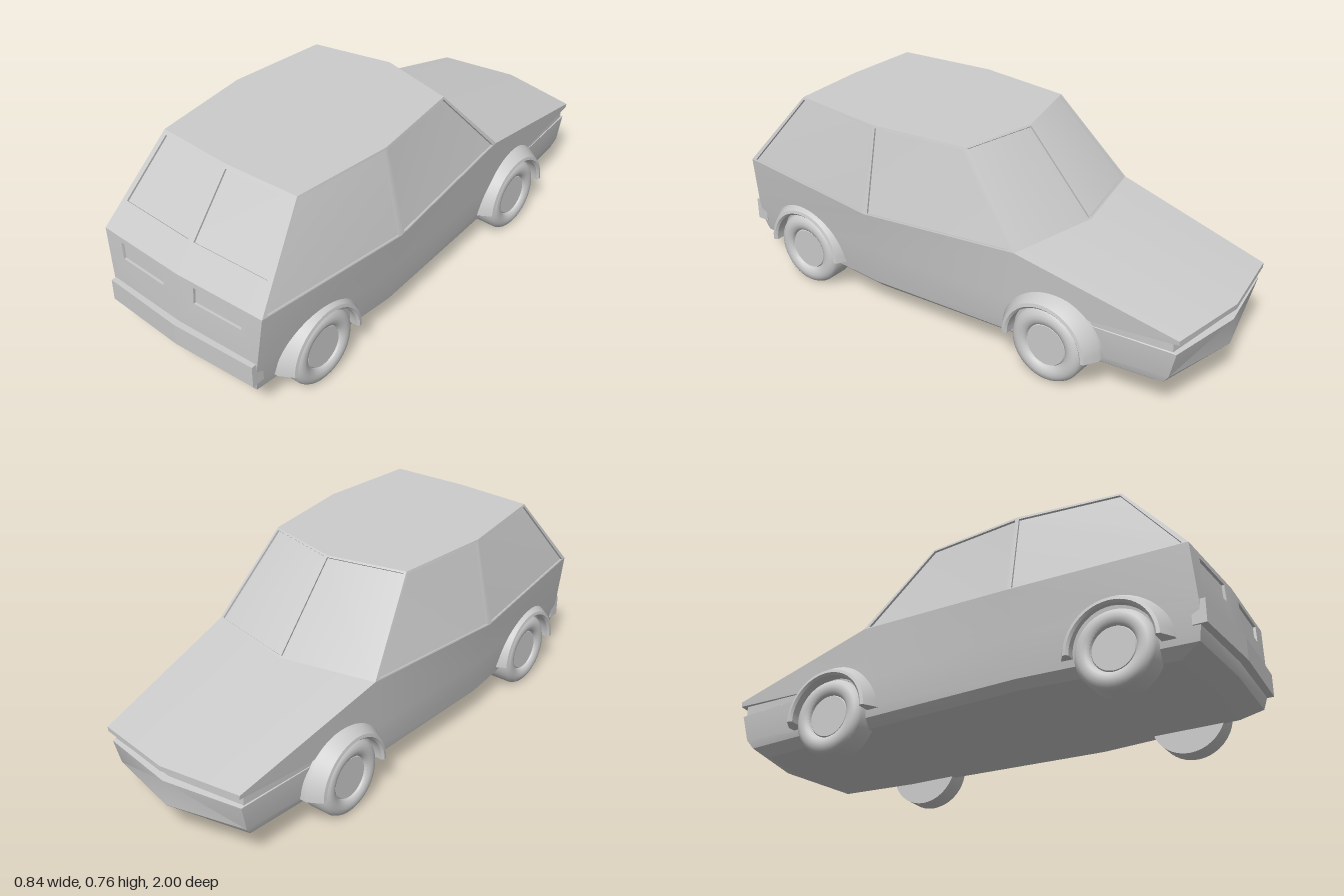
import * as THREE from 'three';
import { mergeGeometries, toCreasedNormals } from 'three/addons/utils/BufferGeometryUtils.js';

const V = (p) => new THREE.Vector3(...p);
const material = new THREE.MeshStandardMaterial({ color: 0xcccccc, side: THREE.DoubleSide });

// Half outlines: tail centre, tail corner, door, windscreen corner, nose corner, nose centre
const sides = [[0, 0.26, 0.975], [0.345, 0.26, 0.96], [0.39, 0.27, 0.31], [0.358, 0.27, -0.33]];
const levels = [
  [[0, 0.09, 0.88], [0.285, 0.09, 0.865], [0.335, 0.09, 0.31], [0.3, 0.09, -0.33], [0.25, 0.09, -0.83], [0, 0.09, -0.87]],
  [[0, 0.125, 0.96], [0.32, 0.125, 0.945], [0.365, 0.12, 0.31], [0.335, 0.12, -0.33], [0.29, 0.125, -0.89], [0, 0.125, -0.95]],
  [[0, 0.17, 0.97], [0.332, 0.17, 0.955], [0.375, 0.17, 0.31], [0.345, 0.17, -0.33], [0.3, 0.16, -0.915], [0, 0.16, -0.988]],
  [...sides, [0.305, 0.262, -0.94], [0, 0.262, -0.993]],
  [...sides, [0.302, 0.265, -0.925], [0, 0.265, -0.965]],
  [...sides, [0.302, 0.302, -0.925], [0, 0.302, -0.965]],
  [...sides, [0.31, 0.305, -0.95], [0, 0.305, -1]],
  [[0, 0.46, 0.965], [0.37, 0.46, 0.95], [0.42, 0.435, 0.31], [0.368, 0.465, -0.33], [0.312, 0.322, -0.95], [0, 0.325, -1]],
].map((ring) => ring.map(V));
const belt = levels[levels.length - 1];
const scuttle = V([0, 0.465, -0.41]);
const roof = [[0, 0.765, 0.715], [0.303, 0.765, 0.7], [0.345, 0.765, 0.31], [0.3, 0.765, -0.07], [0, 0.765, -0.14]].map(V);

// Collects faces of the left half and mirrors them to the right half
function surface() {
  const data = [];
  const tri = (a, b, c) => {
    const area = b.clone().sub(a).cross(c.clone().sub(a)).length();
    if (area < 1e-7) return;
    for (const p of [a, b, c]) data.push(p.x, p.y, p.z);
    for (const p of [a, c, b]) data.push(-p.x, p.y, p.z);
  };
  const quad = (a, b, c, d) => { tri(a, b, c); tri(a, c, d); };
  const mesh = (name) => {
    const g = new THREE.BufferGeometry();
    g.setAttribute('position', new THREE.Float32BufferAttribute(data, 3));
    const m = new THREE.Mesh(toCreasedNormals(g, 0.5), material);
    m.name = name;
    return m;
  };
  return { tri, quad, mesh };
}

// Four-cornered frame with a sunken pane between u0..u1 and v0..v1
function panel(frame, pane, [a, b, c, d], [u0, u1, v0, v1], depth) {
  const at = (u, v) => a.clone().lerp(b, u).lerp(d.clone().lerp(c, u), v);
  const outer = [a, b, c, d];
  const inner = [at(u0, v0), at(u1, v0), at(u1, v1), at(u0, v1)];
  const normal = c.clone().sub(a).cross(d.clone().sub(b)).normalize();
  const sunk = inner.map((p) => p.clone().addScaledVector(normal, -depth));
  for (let i = 0; i < 4; i++) {
    const j = (i + 1) % 4;
    frame.quad(outer[i], outer[j], inner[j], inner[i]);
    frame.quad(inner[i], inner[j], sunk[j], sunk[i]);
  }
  pane.quad(...sunk);
}

// Wheel with its arch, facing +x
function wheel() {
  const group = new THREE.Group();
  const add = (name, geometry, y) => {
    const m = new THREE.Mesh(toCreasedNormals(geometry.rotateZ(-Math.PI / 2), 0.6), material);
    m.name = name;
    m.position.y = y;
    group.add(m);
  };
  const lathe = (pts, n, start = 0, sweep = Math.PI * 2) =>
    new THREE.LatheGeometry(pts.map((p) => new THREE.Vector2(...p)), n, start, sweep);

  add('tyre', lathe([[0, 0.28], [0.145, 0.28], [0.145, 0.36], [0.138, 0.373], [0.125, 0.382],
    [0.11, 0.385], [0.095, 0.382], [0.085, 0.375], [0.08, 0.362]], 40), 0.145);
  add('hub', lathe([[0.082, 0.364], [0.078, 0.37], [0, 0.37]], 40), 0.145);

  const profile = [[0.152, 0.31], [0.152, 0.39], [0.16, 0.398], [0.172, 0.395], [0.202, 0.345], [0.202, 0.31], [0.152, 0.31]];
  const cap = () => new THREE.ShapeGeometry(new THREE.Shape(profile.map((p) => new THREE.Vector2(...p))));
  add('wheelArch', mergeGeometries([
    lathe(profile, 24, Math.PI, Math.PI),
    cap().rotateY(Math.PI / 2),
    cap().rotateY(-Math.PI / 2),
  ]), 0.147);
  return group;
}

export function createModel() {
  const car = new THREE.Group();
  car.name = 'car';
  const body = surface(), hood = surface(), top = surface(), floor = surface();
  const frames = surface(), glass = surface(), lights = surface();

  // Lower body, leaving the upper tail for the light panel
  for (let k = 0; k < levels.length - 1; k++) {
    const lo = levels[k], up = levels[k + 1];
    for (let i = 0; i < 5; i++) {
      if (i === 0 && k === levels.length - 2) continue;
      body.quad(lo[i], lo[i + 1], up[i + 1], up[i]);
    }
  }
  const tail = levels[levels.length - 2];
  panel(body, lights, [tail[0], tail[1], belt[1], belt[0]], [0.2, 0.78, 0.57, 0.9], 0.01);

  // Hood, roof and floor
  hood.quad(scuttle, belt[3], belt[4], belt[5]);
  for (let i = 1; i < 4; i++) top.tri(roof[0], roof[i], roof[i + 1]);
  for (let i = 1; i < 5; i++) floor.tri(levels[0][0], levels[0][i + 1], levels[0][i]);

  // Tailgate window, side windows and windscreen
  const base = [belt[0], belt[1], belt[2], belt[3], scuttle];
  const openings = [[0.033, 0.94, 0.3, 0.96], [0.03, 0.98, 0.015, 0.97], [0.02, 0.97, 0.015, 0.97], [0.03, 0.99, 0.02, 0.98]];
  openings.forEach((open, i) =>
    panel(frames, glass, [base[i], base[i + 1], roof[i + 1], roof[i]], open, 0.008));

  car.add(body.mesh('body'), hood.mesh('hood'), top.mesh('roof'), floor.mesh('floor'),
    frames.mesh('windowFrames'), glass.mesh('windows'), lights.mesh('tailLights'));

  // Rear bumper, slightly bowed in plan
  const plan = new THREE.Shape([[-0.34, 0.93], [0.34, 0.93], [0.34, 0.98], [0, 1], [-0.34, 0.98]]
    .map(([x, z]) => new THREE.Vector2(x, z)));
  const bumper = new THREE.Mesh(
    new THREE.ExtrudeGeometry(plan, { depth: 0.086, bevelEnabled: false }).rotateX(Math.PI / 2), material);
  bumper.name = 'rearBumper';
  bumper.position.y = 0.262;
  car.add(bumper);

  // Wheels at both axles
  for (const [axle, z] of [['front', -0.47], ['rear', 0.67]]) {
    for (const side of [1, -1]) {
      const w = wheel();
      w.name = axle + (side > 0 ? 'LeftWheel' : 'RightWheel');
      w.position.z = z;
      if (side < 0) w.rotation.y = Math.PI;
      car.add(w);
    }
  }
  return car;
}
